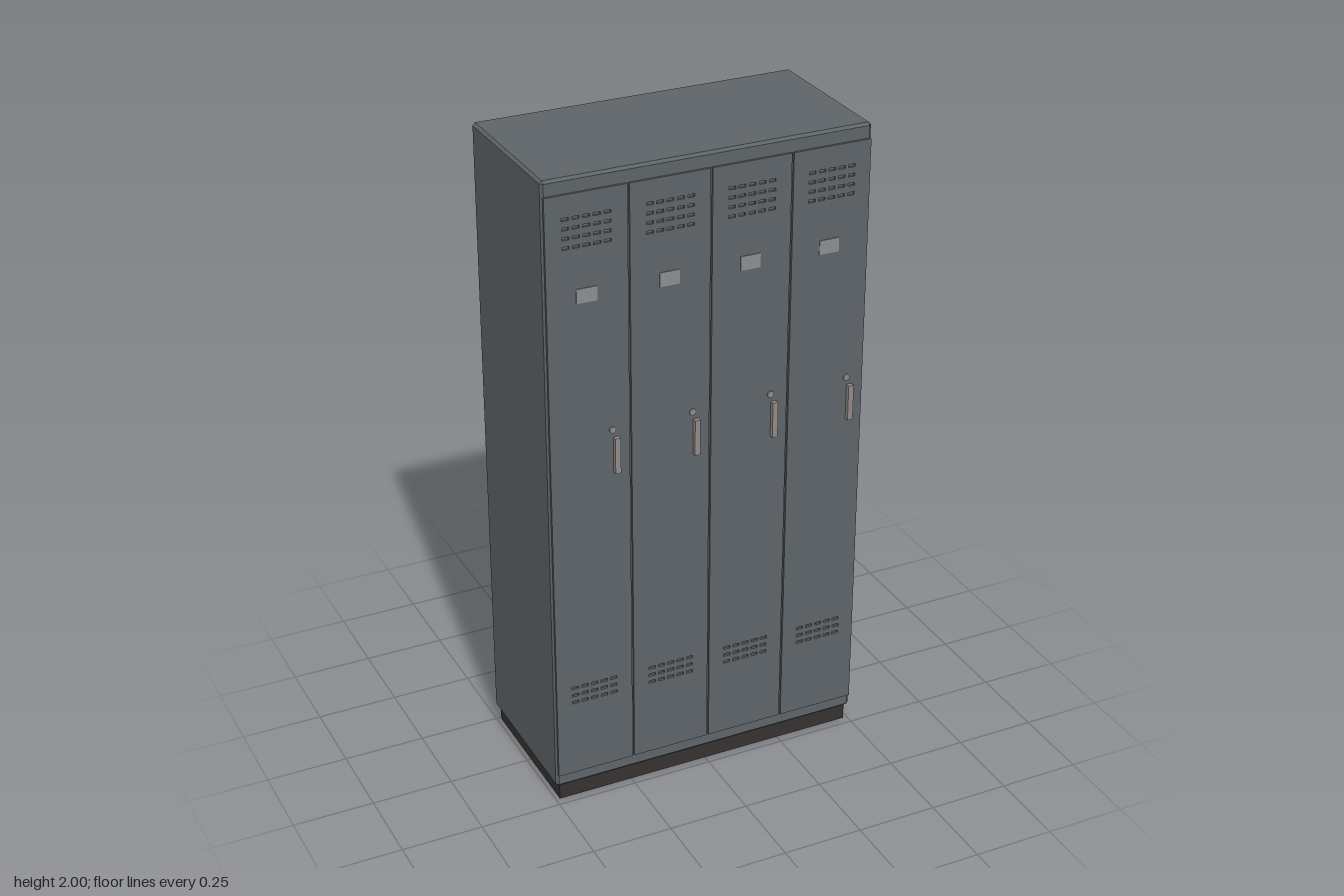
import * as THREE from 'three';
import { ConvexGeometry } from 'three/addons/geometries/ConvexGeometry.js';

const material = (name, color) => {
  const m = new THREE.MeshStandardMaterial({ color });
  m.name = name;
  return m;
};

// Box with every edge chamfered by c
function chamferBox(w, h, d, c) {
  const points = [];
  for (const sx of [-1, 1]) for (const sy of [-1, 1]) for (const sz of [-1, 1]) {
    const x = w / 2, y = h / 2, z = d / 2;
    points.push(
      new THREE.Vector3(sx * x, sy * (y - c), sz * (z - c)),
      new THREE.Vector3(sx * (x - c), sy * y, sz * (z - c)),
      new THREE.Vector3(sx * (x - c), sy * (y - c), sz * z));
  }
  return new ConvexGeometry(points);
}

function rectangle(target, cx, cy, w, h) {
  target.moveTo(cx - w / 2, cy - h / 2);
  target.lineTo(cx + w / 2, cy - h / 2);
  target.lineTo(cx + w / 2, cy + h / 2);
  target.lineTo(cx - w / 2, cy + h / 2);
  target.closePath();
  return target;
}

// Door panel with rows of small vent slots cut through it
function doorGeometry() {
  const shape = rectangle(new THREE.Shape(), 0, 1.025, 0.243, 1.86);
  for (const y of [1.885, 1.857, 1.829, 1.801, 0.395, 0.37, 0.345]) {
    for (let i = 0; i < 5; i++) {
      shape.holes.push(rectangle(new THREE.Path(), (i - 2) * 0.031, y, 0.021, 0.009));
    }
  }
  return new THREE.ExtrudeGeometry(shape, { depth: 0.008, bevelEnabled: false });
}

export function createModel() {
  const group = new THREE.Group();
  const paint = material('grey paint', 0x5d6468);
  const plinthDark = material('dark plinth', 0x353130);
  const metal = material('handle metal', 0x918b88);
  const label = material('label grey', 0x8b8e90);

  const add = (parent, name, geometry, mat, x, y, z) => {
    const mesh = new THREE.Mesh(geometry, mat);
    mesh.name = name;
    mesh.position.set(x, y, z);
    parent.add(mesh);
    return mesh;
  };

  // Cabinet and plinth
  add(group, 'cabinet', chamferBox(1, 1.948, 0.487, 0.008), paint, 0, 1.026, -0.0105);
  add(group, 'plinth', new THREE.BoxGeometry(0.974, 0.054, 0.465), plinthDark, 0, 0.027, -0.0095);

  // Four identical doors with label plate, lock and handle
  const panel = doorGeometry();
  const plate = new THREE.BoxGeometry(0.062, 0.043, 0.002);
  const handle = new THREE.BoxGeometry(0.017, 0.112, 0.014);
  const lock = new THREE.CylinderGeometry(0.01, 0.01, 0.005, 16).rotateX(Math.PI / 2);
  for (let i = 0; i < 4; i++) {
    const door = new THREE.Group();
    door.name = 'door' + (i + 1);
    door.position.x = (i - 1.5) * 0.249;
    add(door, 'doorPanel', panel, paint, 0, 0, 0.232);
    add(door, 'labelPlate', plate, label, -0.003, 1.654, 0.241);
    add(door, 'handle', handle, metal, 0.079, 1.144, 0.247);
    add(door, 'lock', lock, metal, 0.068, 1.225, 0.2425);
    group.add(door);
  }
  return group;
}
